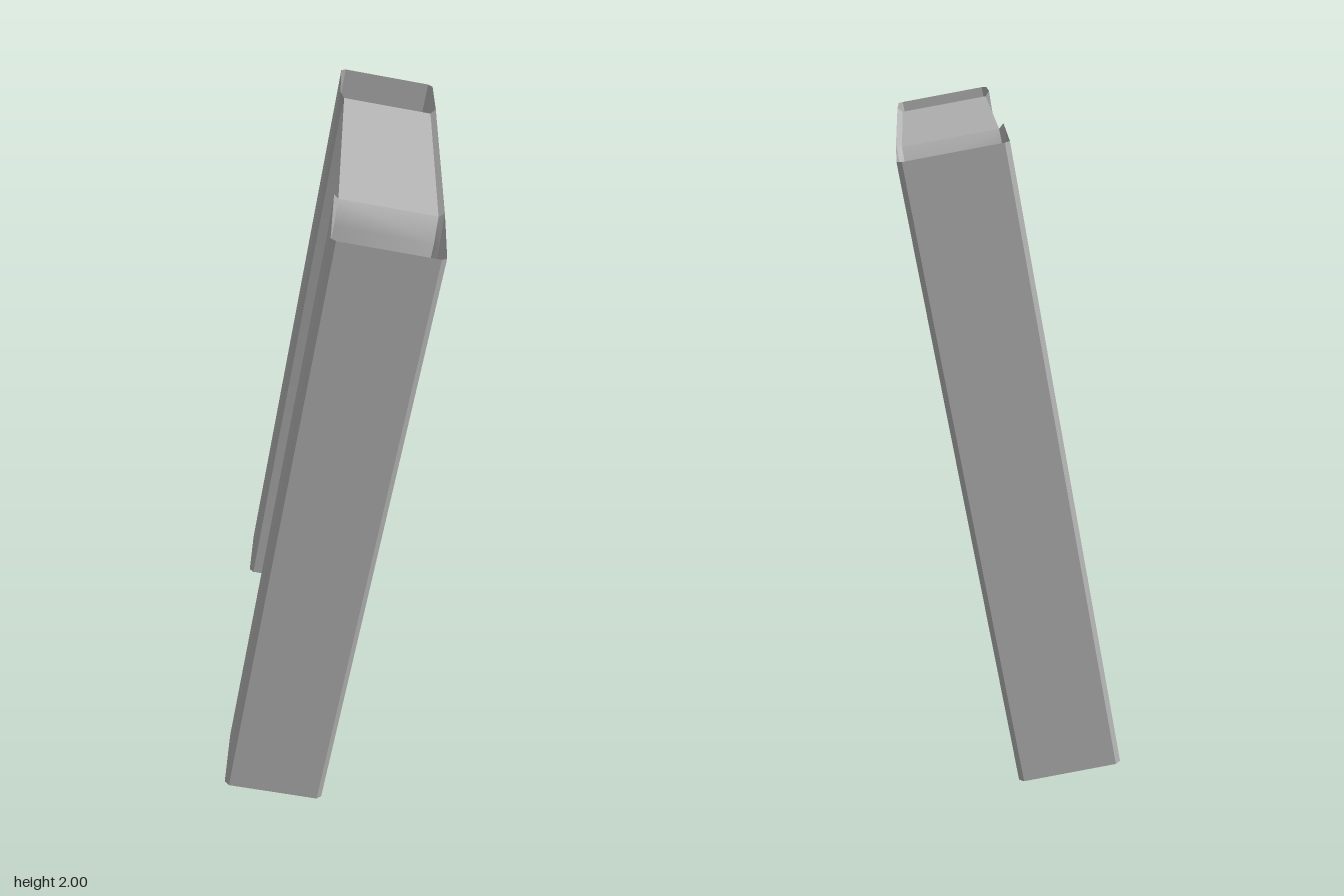
import * as THREE from 'three';
import { toCreasedNormals } from 'three/addons/utils/BufferGeometryUtils.js';

const HALF = 0.16, FLAT = 0.145;        // half width with and without bevels
const TOP = 1.958, LIP = TOP + 0.015;   // leg length, raised inner lip
const OUT = 0.735, OUT_BEVEL = 0.72;    // outer wall

// Skin consecutive rows of [x, y, z] points; closed joins last column to first
function skin(rows, closed, flip) {
  const n = rows[0].length, index = [];
  for (let r = 0; r < rows.length - 1; r++) {
    for (let i = 0; i < (closed ? n : n - 1); i++) {
      const a = r * n + i, b = r * n + (i + 1) % n, c = b + n, d = a + n;
      index.push(...(flip ? [a, c, b, a, d, c] : [a, b, c, a, c, d]));
    }
  }
  const geometry = new THREE.BufferGeometry();
  geometry.setAttribute('position', new THREE.Float32BufferAttribute(rows.flat(2), 3));
  geometry.setIndex(index);
  return toCreasedNormals(geometry, 0.7);
}

// Bevelled section of a leg; the inner side may lean in towards the bridge
function legRing(side, outerY, inner, innerY, lip, lipY) {
  return [
    [-FLAT, outerY, OUT], [FLAT, outerY, OUT],
    [HALF, outerY, OUT_BEVEL], [HALF, lipY, lip],
    [FLAT, innerY, inner], [-FLAT, innerY, inner],
    [-HALF, lipY, lip], [-HALF, outerY, OUT_BEVEL],
  ].map(([x, y, z]) => [x, y, z * side]);
}

export function createModel() {
  const model = new THREE.Group();
  model.name = 'slantedArch';
  const grey = new THREE.MeshStandardMaterial({ color: 0xb4b4b4, side: THREE.DoubleSide });
  grey.name = 'grey';

  // Whole frame leans towards +x
  const frame = new THREE.Group();
  frame.name = 'leaningFrame';
  frame.rotation.z = -THREE.MathUtils.degToRad(10.2);
  frame.position.set(-0.177, 0.028, 0);
  model.add(frame);

  const add = (name, geometry) => {
    const mesh = new THREE.Mesh(geometry, grey);
    mesh.name = name;
    frame.add(mesh);
  };

  // Hollow legs, open at both ends, flaring into the bridge
  for (const side of [1, -1]) {
    const rings = [
      legRing(side, 0, 0.475, 0, 0.49, 0),
      legRing(side, 1.89, 0.475, 1.89, 0.49, 1.89),
      legRing(side, TOP, 0.436, TOP, 0.446, LIP),
    ];
    add(side > 0 ? 'frontLeg' : 'backLeg', skin(rings, true, side < 0));
  }

  // Thin bridge sheet with an upturned bevel along one edge
  const bridgeRow = (s) => [
    [-FLAT, TOP, 0.436 * s], [FLAT, TOP, 0.436 * s], [HALF, LIP, 0.446 * s],
  ];
  add('bridge', skin([bridgeRow(1), bridgeRow(-1)], false, false));

  return model;
}
